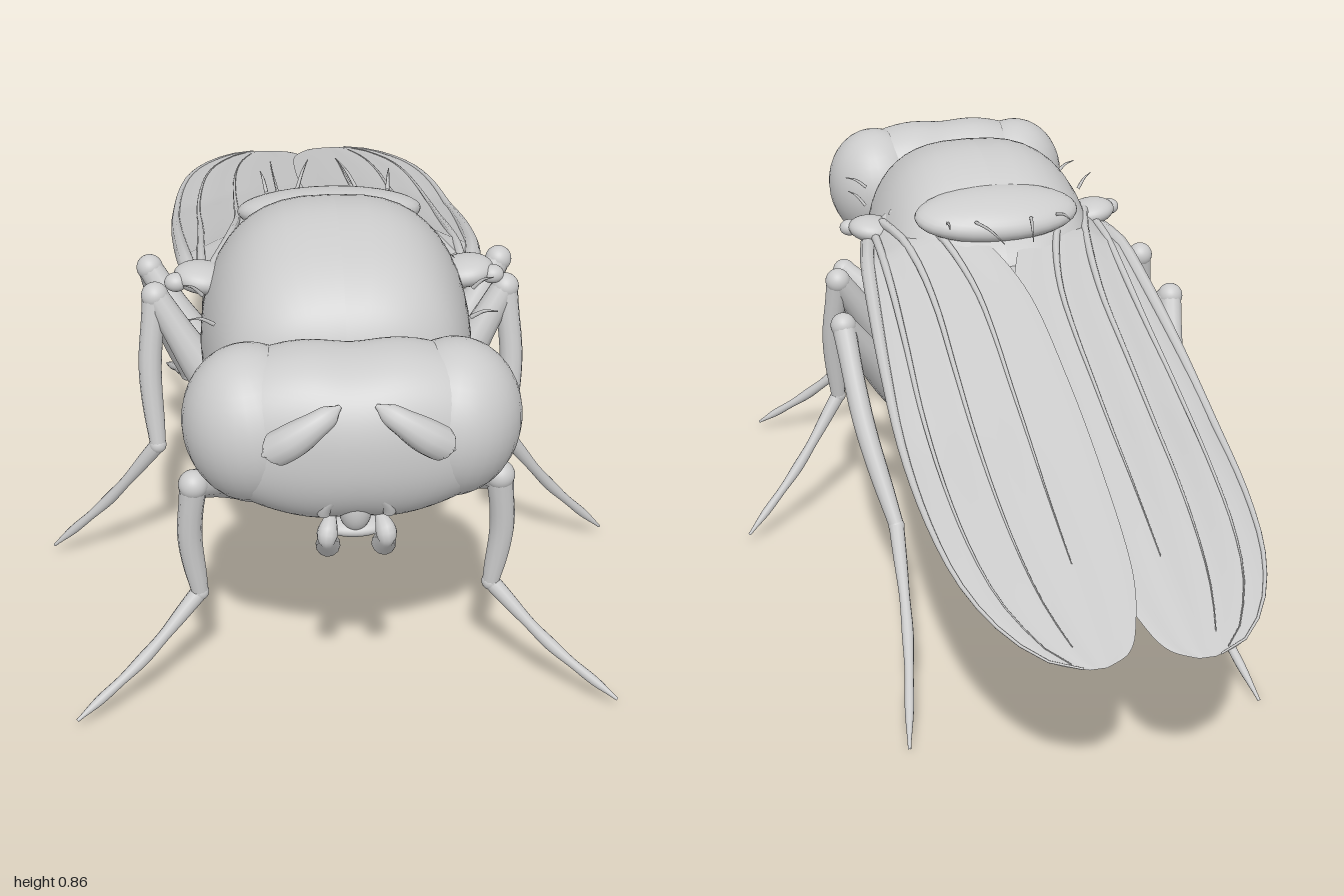
import * as THREE from 'three';

const mat = new THREE.MeshStandardMaterial({ color: 0xcccccc, roughness: 0.8 });
const thin = new THREE.MeshStandardMaterial({ color: 0xcccccc, roughness: 0.8, side: THREE.DoubleSide });
const V = (p) => new THREE.Vector3(p[0], p[1], p[2]);

function add(parent, name, geo, material = mat) {
  const m = new THREE.Mesh(geo, material);
  m.name = name;
  parent.add(m);
  return m;
}

function ellipsoid(parent, name, pos, rad, rot = [0, 0, 0]) {
  const m = add(parent, name, new THREE.SphereGeometry(1, 32, 20));
  m.position.set(...pos);
  m.scale.set(...rad);
  m.rotation.set(...rot);
}

// Smooth interpolation of one column of a table of rows
function sample(rows, t, col) {
  const n = rows.length - 1, f = Math.min(t * n, n - 1e-6), i = Math.floor(f), w = f - i;
  const g = (k) => rows[Math.max(0, Math.min(n, k))][col];
  const [a, b, c, d] = [g(i - 1), g(i), g(i + 1), g(i + 2)];
  return b + 0.5 * w * (c - a + w * (2 * a - 5 * b + 4 * c - d + w * (3 * (b - c) + d - a)));
}

// Grid of points fn(u, v) turned into a surface
function grid(nu, nv, fn) {
  const pos = [], idx = [];
  for (let i = 0; i <= nu; i++) for (let j = 0; j <= nv; j++) pos.push(...fn(i / nu, j / nv));
  for (let i = 0; i < nu; i++) for (let j = 0; j < nv; j++) {
    const a = i * (nv + 1) + j, b = a + nv + 1;
    idx.push(a, b, a + 1, b, b + 1, a + 1);
  }
  const g = new THREE.BufferGeometry();
  g.setAttribute('position', new THREE.Float32BufferAttribute(pos, 3));
  g.setIndex(idx);
  g.computeVertexNormals();
  return g;
}

// Body loft; rows run front to back: [topZ, topY, bottomZ, bottomY, halfWidth]
function body(rows, nu, powerTop, powerBottom, swell = () => 1) {
  return grid(nu, 48, (u, v) => {
    const [tz, ty, bz, by, w] = [0, 1, 2, 3, 4].map((c) => sample(rows, u, c));
    const a = -v * Math.PI * 2, s = Math.sin(a), c = Math.cos(a), k = swell(u);
    const sx = Math.sign(s) * Math.abs(s) ** (c > 0 ? powerTop : powerBottom), h = 0.5 * c * k;
    return [sx * w * k, (ty + by) / 2 + (ty - by) * h, (tz + bz) / 2 + (tz - bz) * h];
  });
}

// Tapered tube along a smooth path
function limb(parent, name, pts, radii, sides = 12) {
  const curve = new THREE.CatmullRomCurve3(pts.map(V)), n = 24;
  const g = new THREE.TubeGeometry(curve, n, 1, sides), p = g.attributes.position, q = new THREE.Vector3();
  const rows = radii.map((r) => [r]);
  for (let i = 0; i <= n; i++) {
    const c = curve.getPointAt(i / n), r = Math.max(0.001, sample(rows, i / n, 0));
    for (let j = 0; j <= sides; j++) {
      const k = i * (sides + 1) + j;
      q.fromBufferAttribute(p, k).sub(c).multiplyScalar(r).add(c);
      p.setXYZ(k, q.x, q.y, q.z);
    }
  }
  add(parent, name, g);
}

// Leg through its joints: root, hip, knee, ankle, tip
function leg(parent, name, s, joints, r) {
  const group = new THREE.Group();
  group.name = name;
  parent.add(group);
  const [root, hip, knee, ankle, tip] = joints.map(([x, y, z]) => V([x * s, y, z]));
  const seg = (n, a, b, out, radii) => {
    const mid = a.clone().lerp(b, 0.5).add(V([out * s, out * 0.5, 0]));
    limb(group, n, [a.toArray(), mid.toArray(), b.toArray()], radii);
  };
  seg('coxa', root, hip, 0, [0.03, r * 1.05, r * 1.1, r, r * 0.85]);
  seg('femur', hip, knee, 0.02, [r * 0.8, r * 0.95, r, r * 0.85, 0.031, 0.026]);
  seg('tibia', knee, ankle, 0.012, [0.025, 0.023, 0.023, 0.022, 0.02, 0.016]);
  seg('tarsus', ankle, tip, -0.01, [0.016, 0.014, 0.011, 0.012, 0.009, 0.009, 0.003]);
  ellipsoid(group, 'hipJoint', hip.toArray(), [r * 0.85, r * 0.85, r * 0.85]);
  ellipsoid(group, 'kneeJoint', knee.toArray(), [0.027, 0.027, 0.027]);
  ellipsoid(group, 'ankleJoint', ankle.toArray(), [0.017, 0.017, 0.017]);
}

// Wing surface: rows from hinge to tip [z, innerX, outerX]
const wingRows = [[0.37, 0.2, 0.26], [0.22, 0.07, 0.285], [0, -0.01, 0.3], [-0.3, -0.03, 0.312], [-0.6, -0.03, 0.302],
  [-0.8, -0.02, 0.268], [-0.92, 0.008, 0.212], [-0.975, 0.035, 0.165], [-1, 0.08, 0.11]];
function wingPoint(u, v, s, lift = 0) {
  const z = sample(wingRows, u, 0), a = sample(wingRows, u, 1), b = sample(wingRows, u, 2);
  const droop = 0.07 * Math.min(1, (z + 1) * 1.6) * v ** 1.8;
  const ripple = 0.002 * Math.sin(v * 22) * Math.sin(Math.PI * u);
  const y = Math.min(0.745, 0.42 + 0.269 * (z + 1)) - droop + ripple + lift + (s > 0 ? 0.006 : 0);
  return [s * (a + (b - a) * v), y, z];
}

export function createModel() {
  const fly = new THREE.Group();
  fly.name = 'fly';

  // Thorax with scutellum and neck
  add(fly, 'thorax', body([[0.695, 0.65, 0.69, 0.64, 0.005], [0.688, 0.72, 0.685, 0.56, 0.12], [0.645, 0.785, 0.65, 0.47, 0.195],
    [0.56, 0.835, 0.58, 0.39, 0.235], [0.42, 0.862, 0.46, 0.31, 0.255], [0.29, 0.835, 0.31, 0.27, 0.255],
    [0.19, 0.765, 0.2, 0.27, 0.235], [0.1, 0.69, 0.12, 0.33, 0.16], [0.08, 0.52, 0.08, 0.5, 0.005]], 56, 0.72, 0.9));
  ellipsoid(fly, 'scutellum', [0, 0.775, 0.225], [0.18, 0.045, 0.09], [-0.25, 0, 0]);
  ellipsoid(fly, 'neck', [0, 0.63, 0.7], [0.1, 0.09, 0.05]);

  // Abdomen with overlapping segment bands
  const bands = 6.5;
  add(fly, 'abdomen', body([[0.2, 0.5, 0.2, 0.48, 0.005], [0.16, 0.68, 0.2, 0.3, 0.2], [0.05, 0.69, 0.12, 0.23, 0.24],
    [-0.12, 0.65, 0.01, 0.18, 0.255], [-0.27, 0.56, -0.12, 0.125, 0.245], [-0.38, 0.45, -0.25, 0.08, 0.205],
    [-0.455, 0.34, -0.36, 0.065, 0.15], [-0.48, 0.24, -0.44, 0.08, 0.085], [-0.475, 0.16, -0.47, 0.15, 0.003]], 130, 0.9, 1.05,
  (u) => { const f = (u * bands) % 1; return 0.965 + 0.06 * Math.sqrt(f) * Math.min(1, (1 - f) * 9); }));
  ellipsoid(fly, 'abdomenTip', [0, 0.13, -0.43], [0.06, 0.06, 0.045]);

  // Head: rounded block, narrowing to the chin, dented at the back
  const headGeo = new THREE.SphereGeometry(1, 64, 40), hp = headGeo.attributes.position;
  for (let i = 0; i < hp.count; i++) {
    const d = V([hp.getX(i), hp.getY(i), hp.getZ(i)]);
    const { x, y, z } = d.multiplyScalar((Math.abs(d.x) ** 2.5 + Math.abs(d.y) ** 2.3 + Math.abs(d.z) ** 2.3) ** (-1 / 2.4));
    const dent = z < 0 ? 1 - 0.15 * Math.exp(-x * x * 10) : 1 + 0.05 * Math.exp(-x * x * 6);
    const low = y < 0 ? 1 - 0.3 * y * y : 1 - 0.08 * y;
    hp.setXYZ(i, 0.283 * x * low, 0.635 + 0.158 * y * (1 - 0.06 * Math.exp(-x * x * 20)), 0.83 + 0.128 * z * dent);
  }
  headGeo.computeVertexNormals();
  add(fly, 'head', headGeo);

  // Mouth opening and mouthparts
  const rim = add(fly, 'mouthRim', new THREE.TorusGeometry(0.055, 0.012, 10, 24, Math.PI));
  rim.position.set(0, 0.525, 0.925);
  rim.rotation.x = 0.35;
  ellipsoid(fly, 'proboscis', [0, 0.525, 0.9], [0.03, 0.05, 0.035]);
  ellipsoid(fly, 'lowerLip', [0, 0.48, 0.895], [0.055, 0.016, 0.03]);

  for (const s of [1, -1]) {
    const side = s > 0 ? 'left' : 'right';
    ellipsoid(fly, side + 'Eye', [s * 0.17, 0.645, 0.822], [0.119, 0.139, 0.127], [0, 0, s * -0.15]);
    limb(fly, side + 'Antenna', [[s * 0.03, 0.735, 0.94], [s * 0.06, 0.725, 0.965], [s * 0.11, 0.695, 0.975], [s * 0.158, 0.66, 0.96]],
      [0.004, 0.018, 0.023, 0.028, 0.03, 0.027, 0.002]);
    limb(fly, side + 'Palp', [[s * 0.04, 0.51, 0.9], [s * 0.05, 0.49, 0.94], [s * 0.045, 0.44, 0.905]],
      [0.008, 0.013, 0.018, 0.014, 0.021, 0.002]);

    // Legs
    leg(fly, side + 'FrontLeg', s, [[0.065, 0.52, 0.59], [0.075, 0.34, 0.51], [0.275, 0.465, 0.725], [0.27, 0.225, 0.71], [0.5, 0.025, 0.82]], 0.048);
    leg(fly, side + 'MiddleLeg', s, [[0.12, 0.42, 0.41], [0.1, 0.28, 0.36], [0.345, 0.625, 0.28], [0.35, 0.32, 0.335], [0.58, 0.03, 0.245]], 0.047);
    leg(fly, side + 'HindLeg', s, [[0.09, 0.4, 0.28], [0.11, 0.26, 0.22], [0.36, 0.6, 0.095], [0.295, 0.23, -0.13], [0.355, 0.008, -0.6]], 0.05);

    // Wing with veins and hinge
    const wing = new THREE.Group();
    wing.name = side + 'Wing';
    fly.add(wing);
    add(wing, 'membrane', grid(60, 20, (u, v) => wingPoint(u, v, s)), thin);
    for (const [v0, v1, end] of [[1, 1, 0.97], [0.85, 0.85, 0.9], [0.6, 0.62, 0.8], [0.3, 0.35, 0.6]]) {
      const pts = [];
      for (let i = 0; i <= 10; i++) pts.push(wingPoint(0.02 + (end - 0.02) * i / 10, v0 + (v1 - v0) * i / 10, s, 0.001));
      limb(wing, 'vein', pts, v0 === 1 ? [0.018, 0.014, 0.009, 0.005, 0.002] : [0.01, 0.006, 0.003, 0.001], 8);
    }
    ellipsoid(wing, 'hinge', [s * 0.25, 0.705, 0.37], [0.055, 0.028, 0.05], [0, 0, s * 0.15]);
    ellipsoid(wing, 'hingeKnob', [s * 0.3, 0.705, 0.39], [0.022, 0.018, 0.02]);

    // Bristles
    for (const [a, b] of [[[0.23, 0.72, 0.6], [0.275, 0.74, 0.62]], [[0.25, 0.72, 0.48], [0.285, 0.75, 0.5]],
      [[0.06, 0.785, 0.15], [0.03, 0.79, 0]], [[0.12, 0.785, 0.16], [0.13, 0.8, 0.08]]]) {
      const m = a.map((c, i) => (c + b[i]) / 2 + (i === 1 ? 0.006 : 0));
      limb(fly, side + 'Bristle', [a, m, b].map(([x, y, z]) => [x * s, y, z]), [0.004, 0.003, 0.001], 6);
    }
  }
  return fly;
}
